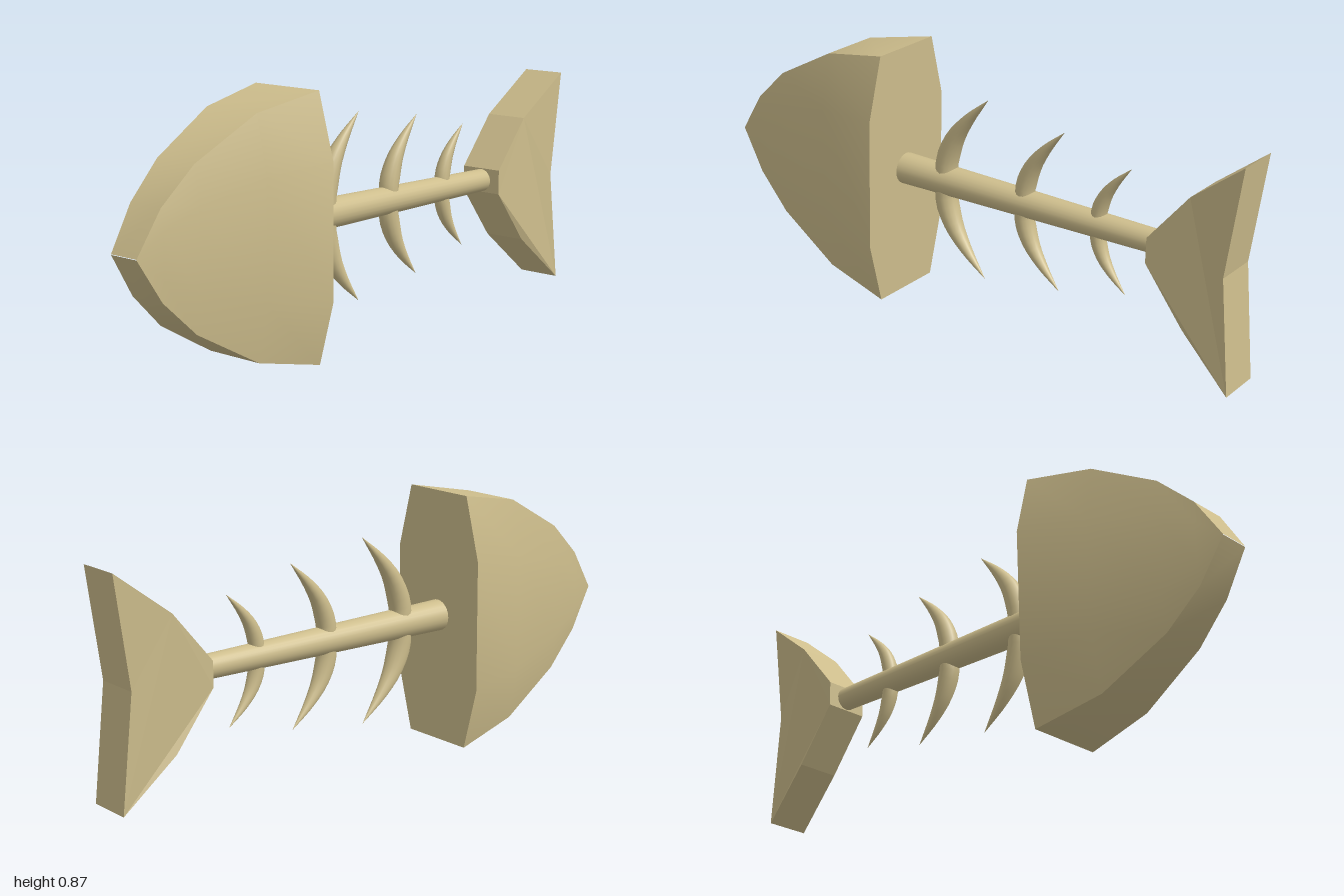
import * as THREE from 'three';
import { toCreasedNormals } from 'three/addons/utils/BufferGeometryUtils.js';

const bone = new THREE.MeshStandardMaterial({ color: 0xcdbd8c });

function part(name, geometry) {
  const mesh = new THREE.Mesh(geometry, bone);
  mesh.name = name;
  return mesh;
}

// Wedge-shaped head: eight-sided sections [x, half height] growing from the snout edge
function headGeometry() {
  const stations = [[-0.997, 0.001], [-0.91, 0.14], [-0.79, 0.255], [-0.56, 0.383], [-0.32, 0.432]];
  const positions = [], index = [];
  for (const [x, h] of stations) {
    const t = (x + 0.997) / 0.677;
    const top = 0.055 + 0.08 * t, mid = 0.055 + 0.138 * t, m = h * 0.51;
    const ring = [[h, top], [h, -top], [m, -mid], [-m, -mid], [-h, -top], [-h, top], [-m, mid], [m, mid]];
    for (const [y, z] of ring) positions.push(x, y - 0.006 * t, z);
  }
  for (let i = 0; i < stations.length - 1; i++) {
    for (let j = 0; j < 8; j++) {
      const a = i * 8 + j, b = i * 8 + (j + 1) % 8;
      index.push(a, a + 8, b, b, a + 8, b + 8);
    }
  }
  // flat back of the head
  const last = (stations.length - 1) * 8;
  for (let j = 1; j < 7; j++) index.push(last, last + j + 1, last + j);
  const geo = new THREE.BufferGeometry();
  geo.setAttribute('position', new THREE.Float32BufferAttribute(positions, 3));
  geo.setIndex(index);
  return toCreasedNormals(geo, 0.5);
}

// Forked tail fin: thick plate whose rear bends slightly forwards
function tailGeometry() {
  const outline = [[0.66, -0.042], [0.8, -0.225], [0.98, -0.387], [0.938, -0.005], [0.985, 0.358], [0.8, 0.212], [0.66, 0.042]];
  const shape = new THREE.Shape(outline.map(([x, y]) => new THREE.Vector2(x, y)));
  const geo = new THREE.ExtrudeGeometry(shape, { depth: 0.154, bevelEnabled: false });
  geo.translate(0, 0, -0.077);
  const pos = geo.attributes.position;
  for (let i = 0; i < pos.count; i++) {
    const bend = THREE.MathUtils.clamp((pos.getX(i) - 0.8) / 0.16, 0, 1);
    pos.setZ(i, pos.getZ(i) + 0.024 * bend);
  }
  geo.computeVertexNormals();
  return geo;
}

// Curved rib that tapers to a point; side is +1 for up, -1 for down
function ribGeometry(size, side) {
  const points = [[0, 0], [0, 0.06], [0.03, 0.15], [0.08, 0.225], [0.162, 0.315]];
  const curve = new THREE.CatmullRomCurve3(points.map(([x, y]) => new THREE.Vector3(x * size, side * y * size, 0)));
  const steps = 12, sides = 16;
  const geo = new THREE.TubeGeometry(curve, steps, 0.038 * size, sides);
  const pos = geo.attributes.position, v = new THREE.Vector3();
  for (let i = 0; i <= steps; i++) {
    const u = i / steps, centre = curve.getPointAt(u);
    const taper = u < 0.25 ? 1 : 1 - Math.pow((u - 0.25) / 0.75, 1.3);
    for (let j = 0; j <= sides; j++) {
      const k = i * (sides + 1) + j;
      v.fromBufferAttribute(pos, k).sub(centre).multiplyScalar(taper).add(centre);
      pos.setXYZ(k, v.x, v.y, v.z);
    }
  }
  return geo;
}

export function createModel() {
  const model = new THREE.Group();
  model.name = 'fishSkeleton';
  const body = new THREE.Group();
  body.name = 'skeleton';
  model.add(body);

  body.add(part('head', headGeometry()));
  body.add(part('tailFin', tailGeometry()));

  // backbone, narrowing towards the tail
  const spine = new THREE.CylinderGeometry(0.053, 0.039, 1.0, 24);
  spine.rotateZ(Math.PI / 2);
  spine.translate(0.17, 0, 0);
  body.add(part('backbone', spine));

  // three pairs of ribs, smaller towards the tail
  for (const [x, size] of [[-0.15, 1], [0.163, 0.87], [0.442, 0.68]]) {
    for (const side of [1, -1]) {
      const rib = part(side > 0 ? 'upperRib' : 'lowerRib', ribGeometry(size, side));
      rib.position.x = x;
      body.add(rib);
    }
  }

  // slight turn and tilt of the whole skeleton
  body.rotation.set(-0.012, -0.092, -0.015);
  body.position.set(0, 0.437, 0.01);
  return model;
}
